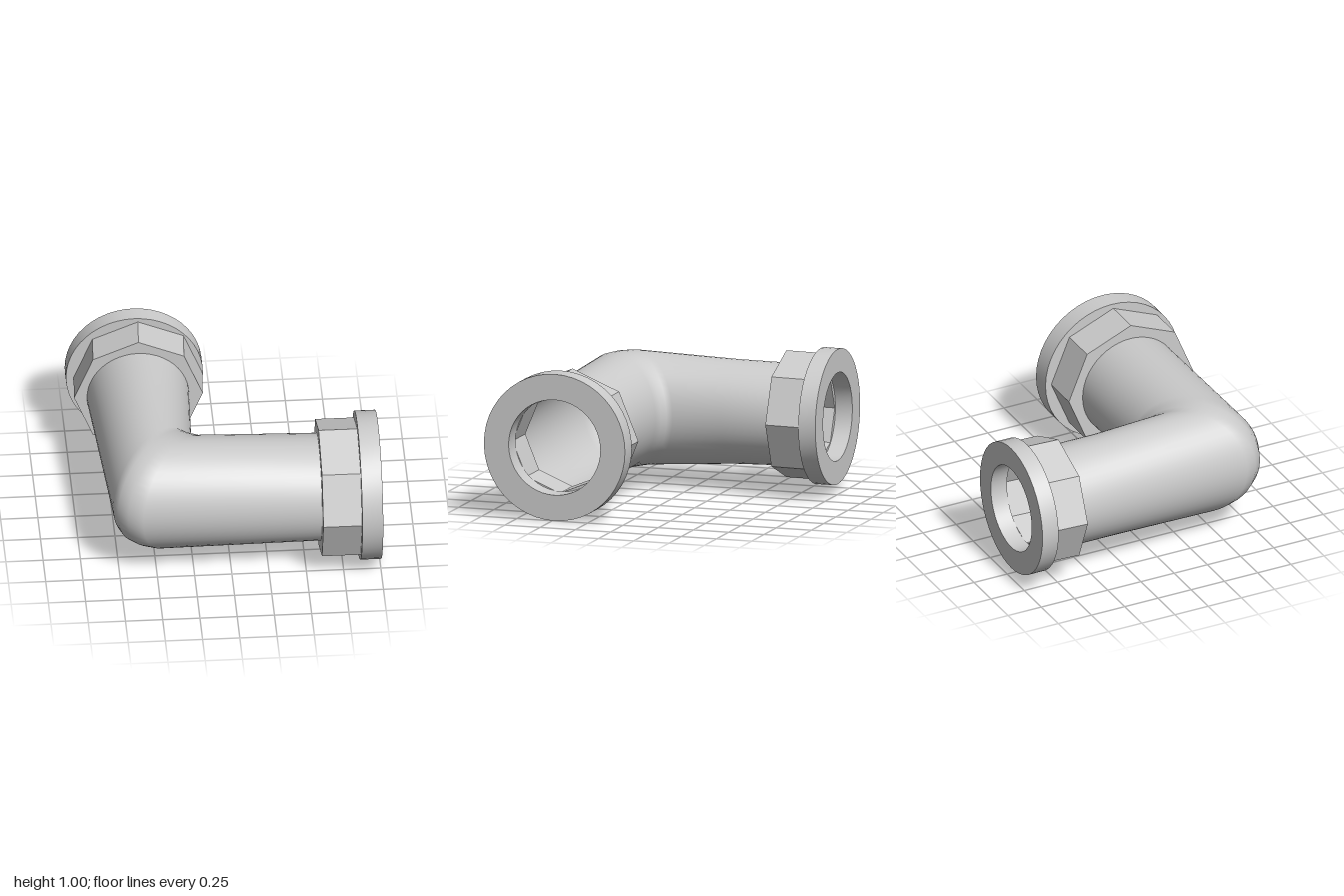
import * as THREE from 'three';
import { toCreasedNormals } from 'three/addons/utils/BufferGeometryUtils.js';

const material = new THREE.MeshStandardMaterial({ color: 0xcccccc, side: THREE.DoubleSide });

// Hollow ring standing on y = 0, axis along +y; few sides stay faceted, many are smooth
function ringGeometry(inner, outer, height, sides) {
  const profile = [[inner, 0], [outer, 0], [outer, height], [inner, height], [inner, 0]]
    .map(([r, y]) => new THREE.Vector2(r, y));
  return toCreasedNormals(new THREE.LatheGeometry(profile, sides), 0.6);
}

// Skin through elliptical sections: [inner x, inner z, outer x, outer z, centre y, half height]
function loftGeometry(sections, sides) {
  const positions = [], indices = [];
  sections.forEach(([xi, zi, xo, zo, yc, h], i) => {
    for (let j = 0; j < sides; j++) {
      const t = (j / sides) * Math.PI * 2, k = (1 + Math.cos(t)) / 2;
      positions.push(xi + (xo - xi) * k, yc + h * Math.sin(t), zi + (zo - zi) * k);
      if (i === sections.length - 1) continue;
      const a = i * sides + j, b = i * sides + (j + 1) % sides;
      indices.push(a, a + sides, b, b, a + sides, b + sides);
    }
  });
  const geometry = new THREE.BufferGeometry();
  geometry.setAttribute('position', new THREE.Float32BufferAttribute(positions, 3));
  geometry.setIndex(indices);
  geometry.computeVertexNormals();
  return geometry;
}

export function createModel() {
  const model = new THREE.Group();
  model.name = 'pipeElbow';
  const add = (name, geometry, x = 0, y = 0, z = 0) => {
    const mesh = new THREE.Mesh(geometry, material);
    mesh.name = name;
    mesh.position.set(x, y, z);
    model.add(mesh);
  };

  // Elbow shell, from the back opening round the bend to the side opening
  add('elbowPipe', loftGeometry([
    [-0.19, -0.65, -0.877, -0.65, 0.53, 0.345],
    [-0.205, -0.28, -0.852, -0.28, 0.527, 0.352],
    [-0.22, 0.07, -0.79, 0.66, 0.52, 0.385],
    [-0.185, 0.10, -0.765, 0.735, 0.52, 0.388],
    [-0.14, 0.125, -0.70, 0.80, 0.52, 0.39],
    [-0.09, 0.145, -0.60, 0.843, 0.52, 0.388],
    [0.26, 0.138, 0.1, 0.847, 0.516, 0.374],
    [0.62, 0.13, 0.62, 0.85, 0.512, 0.362],
  ], 48));

  // Tapered bore inside the back arm
  add('innerBore', new THREE.CylinderGeometry(0.275, 0.217, 1.2, 40, 1, true).rotateX(-Math.PI / 2),
    -0.53, 0.53, -0.03);

  // Side fitting: octagonal nut and round flange facing +x
  add('sideNut', ringGeometry(0.335, 0.467, 0.26, 8).rotateZ(-Math.PI / 2), 0.6, 0.507, 0.495);
  add('sideFlange', ringGeometry(0.325, 0.5, 0.14, 48).rotateZ(-Math.PI / 2), 0.86, 0.508, 0.485);

  // Back fitting: the same pair, smaller, facing -z; the nut leans slightly sideways
  const lean = new THREE.Matrix4().makeShear(0, 0, 0, 0, -0.055, 0);
  add('backNut', ringGeometry(0.31, 0.432, 0.24, 8).rotateX(-Math.PI / 2).applyMatrix4(lean),
    -0.53, 0.533, -0.63);
  add('backFlange', ringGeometry(0.3, 0.46, 0.12, 48).rotateX(-Math.PI / 2), -0.54, 0.533, -0.87);

  return model;
}
